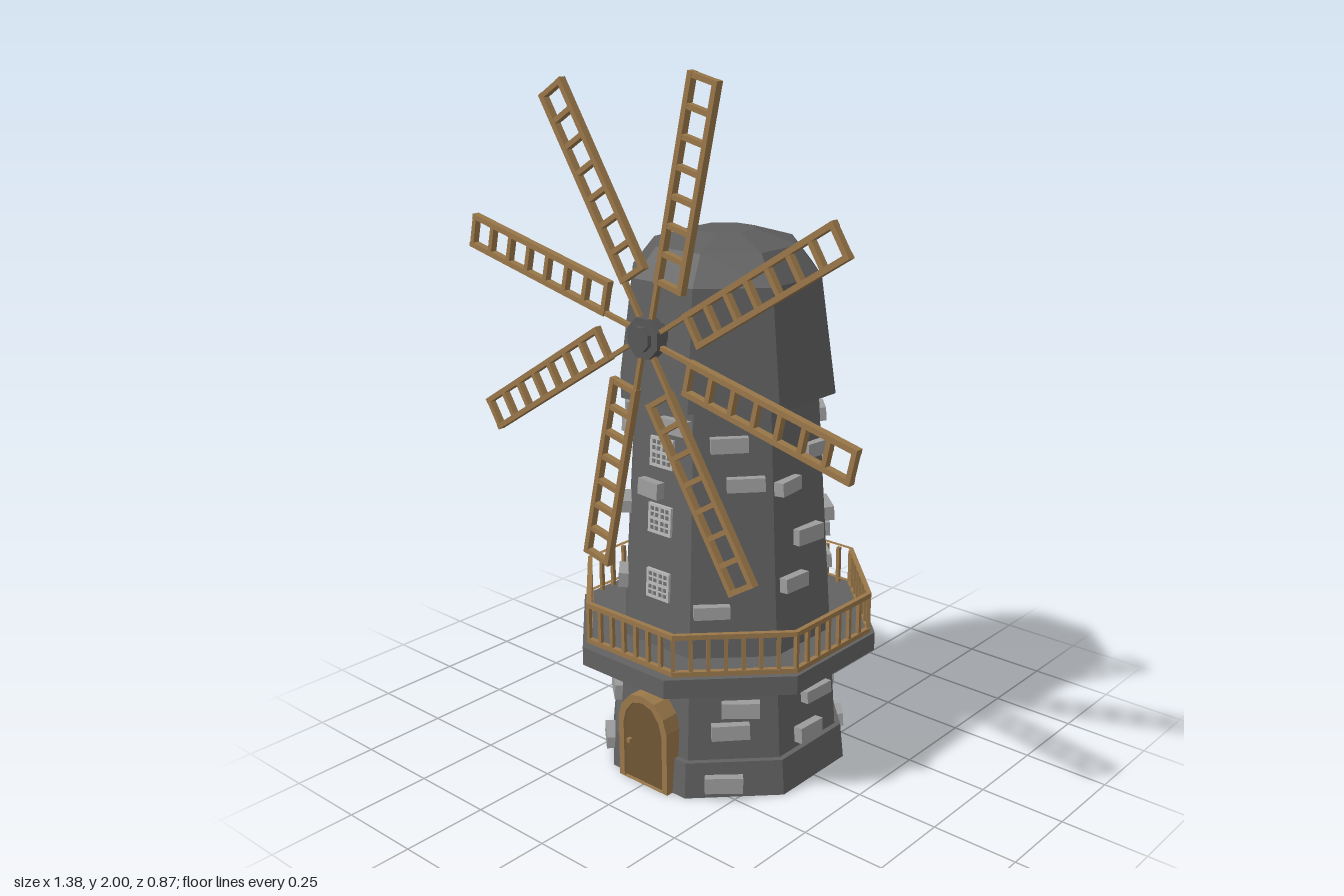
import * as THREE from 'three';

const mat = (name, color) => new THREE.MeshStandardMaterial({ name, color });

export function createModel() {
  const wall = mat('darkStone', 0x626262);
  const capMat = mat('capGrey', 0x5f5f5f);
  const stoneMat = mat('lightStone', 0x9c9c9c);
  const wood = mat('wood', 0x9a7749);
  const doorMat = mat('doorWood', 0x6f5735);
  const hubMat = mat('hubGrey', 0x585858);
  const frameMat = mat('windowFrame', 0xb8b8b8);
  const glass = mat('windowPane', 0x6c6c6c);

  const model = new THREE.Group();
  model.name = 'windmill';

  const group = (name, parent = model) => {
    const g = new THREE.Group();
    g.name = name;
    parent.add(g);
    return g;
  };
  const add = (parent, name, geo, material, x = 0, y = 0, z = 0) => {
    const m = new THREE.Mesh(geo, material);
    m.name = name;
    m.position.set(x, y, z);
    parent.add(m);
    return m;
  };
  const box = (parent, name, material, w, h, d, x, y, z) =>
    add(parent, name, new THREE.BoxGeometry(w, h, d), material, x, y, z);
  const faceted = (geo) => {
    const g = geo.toNonIndexed();
    g.computeVertexNormals();
    return g;
  };
  // Eight-sided turned body; profile gives [distance to flat side, height]
  const octagon = (profile) => faceted(new THREE.LatheGeometry(
    profile.map(([a, y]) => new THREE.Vector2(a / Math.cos(Math.PI / 8), y)), 8, Math.PI / 8));

  // Tower, plinth and cap
  const apothem = (y) => (y < 0.1 ? 0.333 : 0.312 - (y - 0.1) * 0.0614);
  add(model, 'towerBody', octagon([[apothem(0.1), 0.1], [apothem(1.2), 1.2]]), wall);
  add(model, 'plinth', octagon([[0, 0], [0.338, 0], [0.328, 0.105], [0.29, 0.105]]), wall);
  add(model, 'cap', octagon([[0.22, 1.115], [0.294, 1.115], [0.252, 1.44], [0.192, 1.52],
    [0.08, 1.555], [0, 1.555]]), capMat);

  // Wide octagonal outline with 45 degree corners
  const corners = (hx, hz, c) => [[c, hz], [hx, hz - hx + c], [hx, -(hz - hx + c)], [c, -hz],
    [-c, -hz], [-hx, -(hz - hx + c)], [-hx, hz - hx + c], [-c, hz]]
    .map(([x, z]) => new THREE.Vector2(x, z));
  const slab = (outer, inner, height) => {
    const shape = new THREE.Shape(outer);
    if (inner) shape.holes.push(new THREE.Path(inner));
    return new THREE.ExtrudeGeometry(shape, { depth: height, bevelEnabled: false }).rotateX(-Math.PI / 2);
  };
  add(model, 'balconyFloor', slab(corners(0.41, 0.434, 0.155), null, 0.055), wall, 0, 0.355, 0);

  // Balcony railing
  const railing = group('railing');
  const railOuter = corners(0.402, 0.408, 0.163);
  const railInner = corners(0.388, 0.394, 0.157);
  for (const y of [0.412, 0.52]) {
    add(railing, 'rail', slab(railOuter, railInner, 0.014), wood, 0, y, 0);
  }
  const posts = corners(0.395, 0.401, 0.16);
  posts.forEach((a, i) => {
    const b = posts[(i + 1) % 8];
    for (let k = 0; k < 7; k++) {
      const p = a.clone().lerp(b, k / 7);
      const post = box(railing, 'post', wood, 0.011, 0.115, 0.011, p.x, 0.468, p.y);
      post.rotation.y = -Math.atan2(b.y - a.y, b.x - a.x);
    }
  });

  // Protruding stones: per side, [offset along side, height]
  const sideStones = [[0.075, 0.965], [-0.06, 0.89], [0.02, 0.73], [-0.05, 0.61], [0.03, 0.25], [-0.01, 0.145]];
  const backStones = [[0.06, 1.04], [-0.05, 0.94], [0.04, 0.86], [-0.04, 0.76], [0.05, 0.68],
    [-0.05, 0.565], [0.05, 0.27], [-0.04, 0.19], [0.03, 0.04]];
  const cornerStones = [[0.0, 1.03], [0.05, 0.86], [-0.04, 0.75], [0.04, 0.67], [0.05, 0.565],
    [-0.04, 0.28], [0.07, 0.18], [0.03, 0.045]];
  const stones = [
    [[-0.03, 0.87], [0.05, 1.06]],
    [[-0.01, 1.02], [0.035, 0.91], [-0.06, 0.55], [0.02, 0.26], [-0.01, 0.195], [-0.03, 0.045]],
    sideStones, cornerStones, backStones, cornerStones, sideStones,
    [[-0.03, 1.05], [-0.07, 0.97], [0.0, 0.77], [0.03, 0.555], [0.07, 0.31], [-0.05, 0.16], [0.04, 0.045]],
  ];
  let seed = 7;
  const rand = () => (seed = (seed * 16807) % 2147483647) / 2147483647;
  stones.forEach((list, side) => {
    const g = group('wallStones');
    g.rotation.y = side * Math.PI / 4;
    for (const [u, y] of list) {
      const s = box(g, 'wallStone', stoneMat, 0.075 + rand() * 0.035, 0.035 + rand() * 0.012, 0.05,
        u, y, apothem(y) + 0.002);
      s.rotation.set(-0.06, (rand() - 0.5) * 0.2, (rand() - 0.5) * 0.12);
    }
  });

  // Arched door with surround
  const door = group('door');
  const arch = (w, h, Ctor = THREE.Shape) => new Ctor([[-w, 0], [w, 0], [w, h * 0.68], [w * 0.86, h * 0.83],
    [w * 0.5, h * 0.96], [0, h], [-w * 0.5, h * 0.96], [-w * 0.86, h * 0.83], [-w, h * 0.68]]
    .map(([x, y]) => new THREE.Vector2(x, y)));
  const extrude = (shape, depth) => new THREE.ExtrudeGeometry(shape, { depth, bevelEnabled: false });
  const surround = arch(0.093, 0.28);
  surround.holes.push(new THREE.Path(arch(0.074, 0.258).getPoints().map((p) => p.setY(Math.max(p.y, 0.002)))));
  add(door, 'doorSurround', extrude(surround, 0.085), wood, 0, 0, 0.275);
  add(door, 'doorPanel', extrude(arch(0.076, 0.26), 0.07), doorMat, 0, 0, 0.28);
  box(door, 'doorKnob', wood, 0.012, 0.012, 0.014, -0.056, 0.12, 0.355);

  // Lattice windows up the front
  for (const y of [0.595, 0.785, 0.975]) {
    const win = group('window');
    win.position.set(0, y, apothem(y) + 0.002);
    win.rotation.x = -0.0614;
    box(win, 'pane', glass, 0.08, 0.08, 0.006, 0, 0, 0);
    for (let i = -2; i <= 2; i++) {
      const t = i % 2 === 0 ? 0.008 : 0.004;
      box(win, 'verticalBar', frameMat, t, 0.084, 0.009, i * 0.019, 0, 0.002);
      box(win, 'crossBar', frameMat, 0.084, t, 0.009, 0, i * 0.019, 0.002);
    }
  }

  // Hub and axle
  const rotor = group('rotor');
  rotor.position.set(0, 1.307, 0.315);
  const disc = (r, d) => faceted(new THREE.CylinderGeometry(r, r, d, 8).rotateY(Math.PI / 8).rotateX(Math.PI / 2));
  add(rotor, 'hub', disc(0.058, 0.036), hubMat);
  add(rotor, 'axle', disc(0.035, 0.14), hubMat, 0, 0, -0.038);

  // Eight ladder sails, each set to one side of its spoke
  const start = 0.155, end = 0.708, width = 0.098, t = 0.015;
  for (let i = 0; i < 8; i++) {
    const sail = group('sail', rotor);
    sail.rotation.z = THREE.MathUtils.degToRad(77 + i * 45);
    box(sail, 'spoke', wood, start, 0.012, 0.014, start / 2, -t / 2, 0);
    for (const y of [-t / 2, -width + t / 2]) {
      box(sail, 'sailRail', wood, end - start, t, 0.022, (start + end) / 2, y, 0);
    }
    for (let k = 0; k < 8; k++) {
      const x = start + t / 2 + (k / 7) * (end - start - t);
      box(sail, 'rung', wood, 0.014, width - 2 * t, 0.02, x, -width / 2, 0);
    }
  }
  return model;
}
